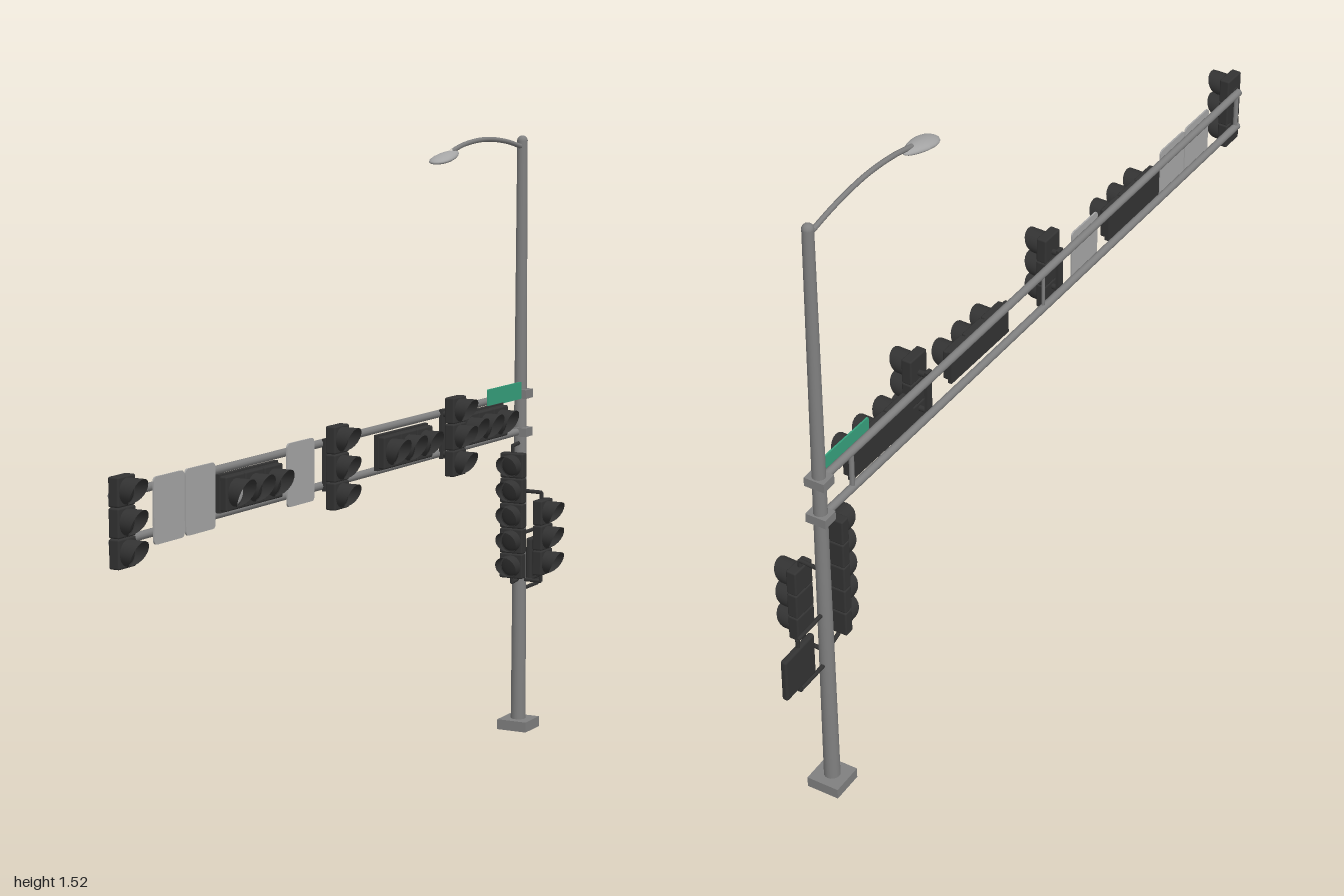
import * as THREE from 'three';
import { RoundedBoxGeometry } from 'three/addons/geometries/RoundedBoxGeometry.js';

const mat = (name, color, extra = {}) => {
  const m = new THREE.MeshStandardMaterial({ color, ...extra });
  m.name = name;
  return m;
};

export function createModel() {
  const model = new THREE.Group();
  model.name = 'trafficSignalMast';

  const steel = mat('galvanised steel', 0x808080);
  const pale = mat('pale grey', 0xa6a6a6);
  const black = mat('signal black', 0x333333);
  const hood = mat('visor black', 0x333333);
  hood.side = THREE.DoubleSide;
  const glass = mat('dark lens', 0x292929);
  const green = mat('sign green', 0x36a07c);

  const add = (parent, name, geo, material, x = 0, y = 0, z = 0) => {
    const m = new THREE.Mesh(geo, material);
    m.name = name;
    m.position.set(x, y, z);
    parent.add(m);
    return m;
  };
  const box = (w, h, d) => new THREE.BoxGeometry(w, h, d);

  // Round bar between two points
  const rod = (name, a, b, r, material, sides = 12) => {
    const p = new THREE.Vector3(...a), q = new THREE.Vector3(...b);
    const dir = q.clone().sub(p);
    const m = add(model, name, new THREE.CylinderGeometry(r, r, dir.length(), sides), material);
    m.position.copy(p).add(q).multiplyScalar(0.5);
    m.quaternion.setFromUnitVectors(new THREE.Vector3(0, 1, 0), dir.normalize());
    return m;
  };
  const path = (name, pts, r, material) => {
    for (let i = 1; i < pts.length; i++) rod(name, pts[i - 1], pts[i], r, material, 8);
  };

  // Pole, foot and cap
  const PX = -0.027, PZ = -0.835;
  add(model, 'base', box(0.08, 0.026, 0.08), steel, PX, 0.013, PZ);
  add(model, 'pole', new THREE.CylinderGeometry(0.013, 0.019, 1.475, 16), steel, PX, 0.7625, PZ);
  add(model, 'poleCap', new THREE.SphereGeometry(0.0135, 12, 6, 0, Math.PI * 2, 0, Math.PI / 2), steel, PX, 1.498, PZ);

  // Twin-tube mast arm, slightly askew
  const armX = z => -0.029 - 0.031 * (z - PZ);
  const TILT = -0.04;
  const tubes = [0.768, 0.865];
  for (const y of tubes) {
    rod('armTube', [armX(PZ), y, PZ], [armX(0.975), y, 0.975], 0.0095, steel);
    add(model, 'armClamp', box(0.05, 0.022, 0.04), steel, PX, y, PZ);
  }
  for (const [z, r] of [[0.053, 0.004], [-0.72, 0.006], [0.965, 0.006]])
    rod('armTie', [armX(z), tubes[0], z], [armX(z), tubes[1], z], r, steel, 8);

  // Visor: tube whose front edge sweeps back towards the bottom
  const visorGeo = (r, length) => {
    const g = new THREE.CylinderGeometry(r, r, 1, 20, 1, true);
    g.rotateX(Math.PI / 2).translate(0, 0, 0.5);
    const p = g.attributes.position;
    for (let i = 0; i < p.count; i++) {
      const t = Math.max(0, (p.getY(i) + r) / (2 * r));
      p.setZ(i, p.getZ(i) * length * (0.06 + 0.94 * Math.sqrt(t)));
    }
    g.computeVertexNormals();
    return g;
  };

  // Signal head; its back sits at the given position and it faces local +z
  const signal = (name, count, horizontal, x, y, z, turn, litIndex = -1) => {
    const g = new THREE.Group();
    g.name = name;
    g.position.set(x, y, z);
    g.rotation.y = turn;
    model.add(g);
    const pitch = horizontal ? 0.077 : 0.064;
    const r = horizontal ? 0.031 : 0.028;
    const depth = 0.026;
    if (horizontal) add(g, 'backplate', box(count * pitch + 0.004, 0.084, 0.01), black, 0, 0, 0.005);
    for (let i = 0; i < count; i++) {
      const o = (i - (count - 1) / 2) * pitch;
      const cell = new THREE.Group();
      cell.name = 'signalSection';
      cell.position.set(horizontal ? o : 0, horizontal ? 0 : o, 0);
      g.add(cell);
      const w = horizontal ? 0.074 : 0.063;
      add(cell, 'housing', new RoundedBoxGeometry(w, horizontal ? 0.076 : 0.0632, depth, 2, 0.004), black, 0, 0, depth / 2);
      const lens = add(cell, 'lens', new THREE.SphereGeometry(r * 0.9, 20, 6, 0, Math.PI * 2, 0, Math.PI / 2),
        i === litIndex ? pale : glass, 0, 0, depth - 0.001);
      lens.rotation.x = Math.PI / 2;
      lens.scale.y = 0.25;
      add(cell, 'visor', visorGeo(r, 0.042), hood, 0, 0, depth - 0.001);
    }
    return g;
  };
  const SIDE = Math.PI / 2 + TILT;

  // Upright heads on the arm, with stand-off brackets
  for (const [x, z] of [[-0.077, 0.968], [-0.032, 0.14], [-0.01, -0.41]]) {
    signal('uprightSignal', 3, false, x, 0.814, z, SIDE);
    for (const y of tubes) rod('signalBracket', [armX(z), y, z], [x + 0.004, y, z], 0.007, black, 8);
    add(model, 'signalStrap', box(0.008, 0.12, 0.02), black, armX(z) + 0.01, 0.8165, z);
  }

  // Sideways heads between the tubes
  signal('sidewaysSignal', 3, true, -0.063, 0.815, 0.476, SIDE, 0);
  signal('sidewaysSignal', 3, true, -0.034, 0.815, -0.19, SIDE);
  signal('sidewaysSignal', 3, true, -0.028, 0.815, -0.59, SIDE);

  // Five-light head on the pole, facing the front
  signal('fiveLightSignal', 5, false, -0.016, 0.563, -0.786, 0);
  for (const [y, end] of [[0.74, 0.715], [0.391, 0.41]])
    path('frontBracket', [[PX, y, PZ], [-0.018, y, -0.773], [-0.018, end, -0.773]], 0.005, black);

  // Three-light head on the side of the pole
  signal('sideSignal', 3, false, 0.028, 0.505, -0.828, SIDE);
  for (const [y, end] of [[0.617, 0.59], [0.389, 0.42]])
    path('sideBracket', [[PX, y, PZ], [0.036, y, -0.83], [0.036, end, -0.83]], 0.005, black);

  // Pedestrian box behind the pole
  add(model, 'pedestrianBox', new RoundedBoxGeometry(0.016, 0.11, 0.112, 2, 0.006), black, PX, 0.43, -0.944);
  add(model, 'pedestrianScreen', box(0.004, 0.088, 0.09), glass, PX + 0.0075, 0.43, -0.944);
  for (const [y, end] of [[0.504, 0.48], [0.36, 0.38]])
    path('pedestrianBracket', [[PX, y, PZ], [PX, y, -0.942], [PX, end, -0.942]], 0.005, black);

  // Thin sign plate with rounded corners, facing +x
  const plate = (name, w, h, r, material, x, y, z) => {
    const a = w / 2 - r, b = h / 2 - r, s = new THREE.Shape();
    s.absarc(a, b, r, 0, Math.PI / 2);
    s.absarc(-a, b, r, Math.PI / 2, Math.PI);
    s.absarc(-a, -b, r, Math.PI, Math.PI * 1.5);
    s.absarc(a, -b, r, Math.PI * 1.5, Math.PI * 2);
    const g = new THREE.ExtrudeGeometry(s, { depth: 0.004, bevelEnabled: false, curveSegments: 4 });
    add(model, name, g, material, x, y, z).rotation.y = SIDE;
  };
  for (const z of [0.784, 0.664, 0.254])
    plate('greySign', 0.113, 0.143, 0.01, pale, armX(z) + 0.01, 0.815, z);
  plate('streetSign', 0.175, 0.043, 0.003, green, armX(-0.723) + 0.012, 0.876, -0.723);

  // Curved lamp arm and teardrop lamp
  const curve = new THREE.CatmullRomCurve3([
    [PX, 1.483, PZ], [-0.03, 1.502, -0.74], [-0.033, 1.511, -0.63], [-0.037, 1.504, -0.53], [-0.039, 1.49, -0.465],
  ].map(p => new THREE.Vector3(...p)));
  add(model, 'lampArm', new THREE.TubeGeometry(curve, 24, 0.006, 8), steel);
  const lampGeo = new THREE.SphereGeometry(1, 20, 14);
  const lp = lampGeo.attributes.position;
  for (let i = 0; i < lp.count; i++) {
    const t = lp.getZ(i), taper = 0.78 + 0.25 * t;
    lp.setXYZ(i, lp.getX(i) * 0.033 * taper, lp.getY(i) * (lp.getY(i) > 0 ? 0.012 : 0.009), t * 0.062);
  }
  lampGeo.computeVertexNormals();
  add(model, 'lamp', lampGeo, pale, -0.04, 1.477, -0.436).rotation.x = 0.17;

  return model;
}
